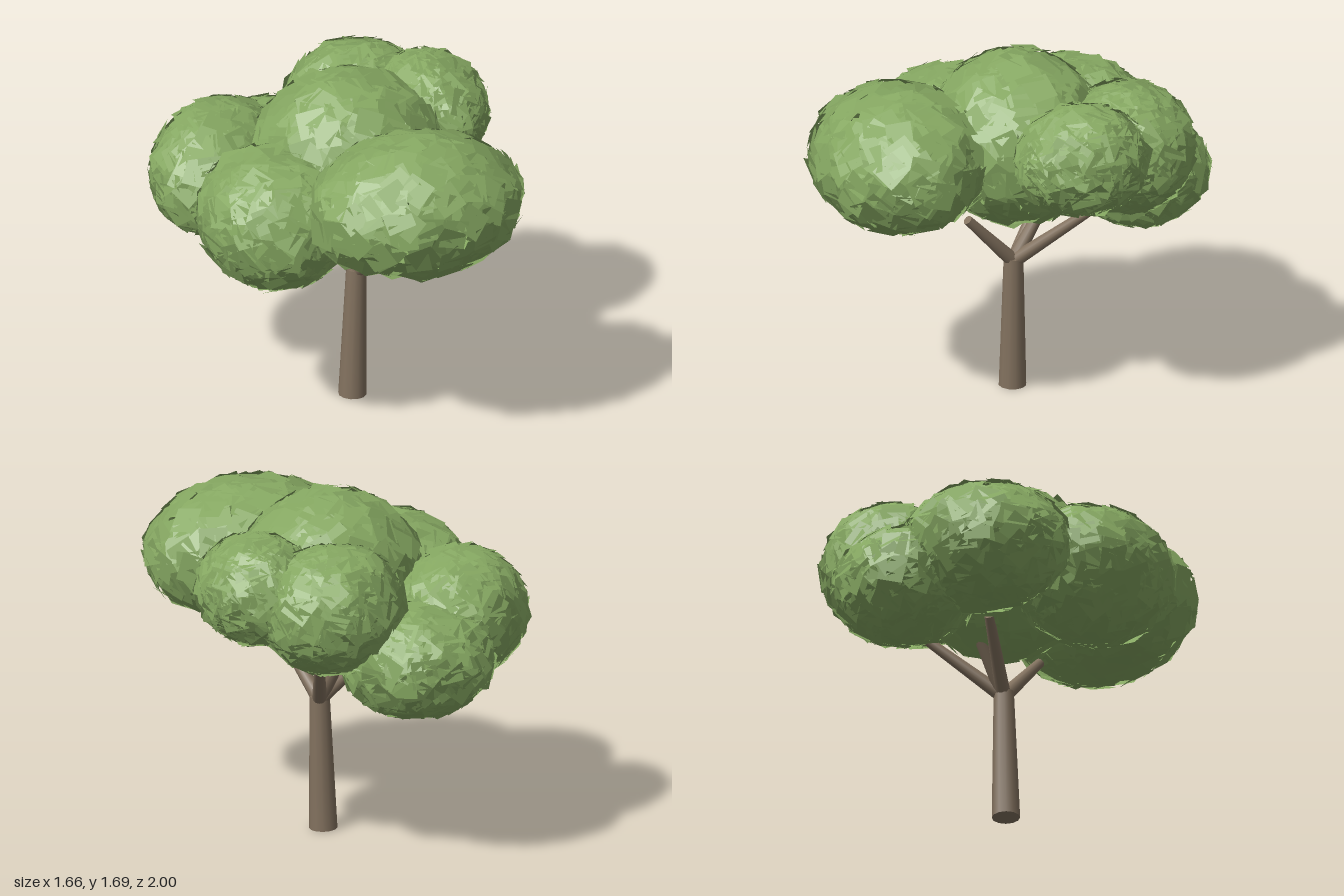
import * as THREE from 'three';
import { mergeGeometries } from 'three/addons/utils/BufferGeometryUtils.js';

// Seeded random numbers in 0..1
function seeded(seed) {
  let s = seed;
  return () => {
    s = (s * 1664525 + 1013904223) % 4294967296;
    return s / 4294967296;
  };
}

// Tapered limb between two points
function limb(name, from, to, r0, r1, material) {
  const a = new THREE.Vector3(...from), b = new THREE.Vector3(...to);
  const dir = b.clone().sub(a);
  const mesh = new THREE.Mesh(new THREE.CylinderGeometry(r1, r0, dir.length(), 12), material);
  mesh.position.copy(a).add(b).multiplyScalar(0.5);
  mesh.quaternion.setFromUnitVectors(new THREE.Vector3(0, 1, 0), dir.normalize());
  mesh.name = name;
  return mesh;
}

// Ellipsoid shell of overlapping square leaf cards, each slightly tilted
function leafShell(radii, count, random) {
  const cards = [];
  const card = new THREE.Object3D();
  const [rx, ry, rz] = radii.map((r) => r - 0.015);
  for (let i = 0; i < count; i++) {
    const y = 1 - (2 * (i + 0.5)) / count;
    const ring = Math.sqrt(1 - y * y);
    const angle = i * 2.39996 + (random() - 0.5) * 0.3;
    const dx = Math.cos(angle) * ring, dz = Math.sin(angle) * ring;
    const depth = 0.94 + 0.06 * random();
    card.position.set(dx * rx, y * ry, dz * rz).multiplyScalar(depth);
    // Face along the ellipsoid normal, then spin and tilt
    const normal = new THREE.Vector3(dx / rx, y / ry, dz / rz).normalize();
    card.quaternion.setFromUnitVectors(new THREE.Vector3(0, 0, 1), normal);
    card.rotateZ(random() * Math.PI * 2);
    card.rotateX((random() - 0.5) * 0.3);
    card.rotateY((random() - 0.5) * 0.3);
    card.updateMatrix();
    const size = 0.115 + 0.025 * random();
    cards.push(new THREE.PlaneGeometry(size, size).applyMatrix4(card.matrix));
  }
  return mergeGeometries(cards);
}

export function createModel() {
  const bark = new THREE.MeshStandardMaterial({ color: 0x83725f });
  bark.name = 'bark brown';
  const leaf = new THREE.MeshStandardMaterial({ color: 0x85a761, side: THREE.DoubleSide });
  leaf.name = 'leaf green';

  const tree = new THREE.Group();
  tree.name = 'tree';

  // Trunk and branches
  tree.add(limb('trunk', [0.05, 0.003, 0], [0.07, 0.66, 0], 0.067, 0.048, bark));
  const branchEnds = [
    [0.14, 0.9, 0.24],
    [0.25, 0.93, -0.32],
    [-0.13, 0.93, -0.2],
    [0.02, 1.0, -0.22],
  ];
  branchEnds.forEach((end, i) => {
    tree.add(limb('branch' + (i + 1), [0.07, 0.64, 0], end, 0.036, 0.023, bark));
  });

  // Foliage clusters: name, centre, radii, turn about y
  const clusters = [
    ['crownFoliage', [0.03, 1.26, -0.02], [0.47, 0.43, 0.44], 0],
    ['frontFoliage', [0.13, 1.25, 0.575], [0.54, 0.345, 0.43], 0],
    ['leftFoliage', [0.53, 1.32, -0.22], [0.29, 0.27, 0.33], 0],
    ['backLeftFoliage', [0.28, 1.26, -0.5], [0.36, 0.32, 0.33], 0],
    ['backFoliage', [-0.1, 0.99, -0.64], [0.38, 0.28, 0.35], 0],
    ['backRightFoliage', [-0.45, 1.11, -0.42], [0.42, 0.32, 0.33], Math.PI / 4],
    ['frontRightFoliage', [-0.43, 1.11, 0.18], [0.37, 0.345, 0.42], 0],
  ];
  const foliage = new THREE.Group();
  foliage.name = 'foliage';
  const random = seeded(7);
  for (const [name, center, radii, turn] of clusters) {
    const mesh = new THREE.Mesh(leafShell(radii, 380, random), leaf);
    mesh.name = name;
    mesh.position.set(...center);
    mesh.rotation.y = turn;
    foliage.add(mesh);
  }
  tree.add(foliage);
  return tree;
}
